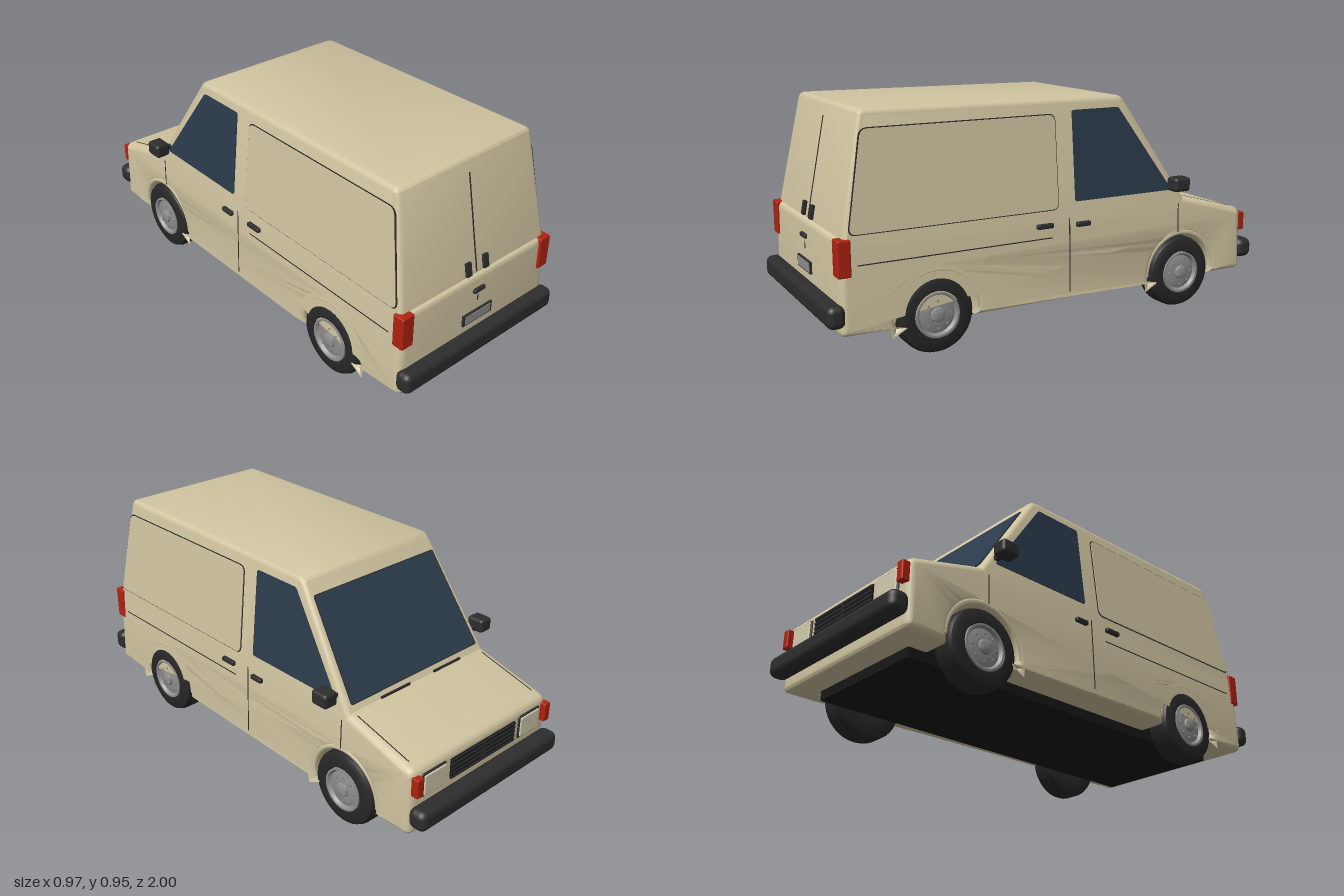
import * as THREE from 'three';
import { toCreasedNormals } from 'three/addons/utils/BufferGeometryUtils.js';
import { RoundedBoxGeometry } from 'three/addons/geometries/RoundedBoxGeometry.js';

const mat = (name, color) => Object.assign(new THREE.MeshStandardMaterial({ color }), { name });
const paint = mat('beige paint', 0xd0c4a0);
const glass = mat('tinted glass', 0x2c3b4c);
const trim = mat('dark trim', 0x2d2d2d);
const black = mat('underbody black', 0x171717);
const rubber = mat('tyre rubber', 0x272727);
const red = mat('red lens', 0xb02210);
const steel = mat('wheel steel', 0x8e8e8e);
const lens = mat('headlight lens', 0xd3cbb0);

const WHEEL_Z = [0.57, -0.59];
const WHEEL_Y = 0.155;
const upperX = y => 0.397 - (y - 0.49) * 0.1;   // leaning cabin side
const lowerX = y => 0.41 - (y - 0.13) * 0.03;   // nearly upright lower side
const rearZ = y => 0.93 - (y - 0.49) * 0.198;   // leaning rear doors

export function createModel() {
  const van = new THREE.Group();
  van.name = 'van';

  const add = (name, geo, material, x = 0, y = 0, z = 0, rx = 0) => {
    const mesh = new THREE.Mesh(geo, material);
    mesh.name = name;
    mesh.position.set(x, y, z);
    mesh.rotation.x = rx;
    van.add(mesh);
    return mesh;
  };
  const box = (name, material, w, h, d, x, y, z, rx = 0) =>
    add(name, new THREE.BoxGeometry(w, h, d), material, x, y, z, rx);
  const soft = (name, material, w, h, d, x, y, z, r, rx = 0) =>
    add(name, new RoundedBoxGeometry(w, h, d, 3, r), material, x, y, z, rx);

  // Polygon with rounded corners
  const roundedShape = (pts, r) => {
    const s = new THREE.Shape();
    const v = pts.map(p => new THREE.Vector2(...p));
    v.forEach((p, i) => {
      const before = v[(i + v.length - 1) % v.length], after = v[(i + 1) % v.length];
      const a = p.clone().add(before.clone().sub(p).setLength(r));
      const b = p.clone().add(after.clone().sub(p).setLength(r));
      if (i === 0) s.moveTo(a.x, a.y); else s.lineTo(a.x, a.y);
      s.quadraticCurveTo(p.x, p.y, b.x, b.y);
    });
    s.closePath();
    return s;
  };

  // Side profile (horizontal = -z) extruded across the width, narrowed by height
  const hull = (name, shape, b, widthAt) => {
    const depth = 2 - 2 * b;
    const geo = new THREE.ExtrudeGeometry(shape, { depth, bevelThickness: b, bevelSize: b, bevelOffset: -b, bevelSegments: 4, curveSegments: 16 });
    geo.translate(0, 0, -depth / 2).rotateY(Math.PI / 2);
    const p = geo.attributes.position;
    for (let i = 0; i < p.count; i++) {
      const x = p.getX(i), half = widthAt(p.getY(i));
      p.setX(i, Math.sign(x) * (half - (1 - Math.abs(x))));
    }
    geo.deleteAttribute('normal');
    add(name, toCreasedNormals(geo, 0.6), paint);
  };

  const mirrored = geo => {
    const g = geo.index ? geo.toNonIndexed() : geo.clone();
    g.scale(-1, 1, 1);
    const p = g.attributes.position, a = new THREE.Vector3(), b = new THREE.Vector3();
    for (let i = 0; i < p.count; i += 3) {
      a.fromBufferAttribute(p, i + 1);
      b.fromBufferAttribute(p, i + 2);
      p.setXYZ(i + 1, b.x, b.y, b.z);
      p.setXYZ(i + 2, a.x, a.y, a.z);
    }
    g.computeVertexNormals();
    return g;
  };

  // Thin plate following the body side, on both sides
  const sidePlate = (name, material, pts, r, depth, sideX) => {
    const shape = roundedShape(pts.map(([z, y]) => [-z, y]), r);
    const geo = new THREE.ExtrudeGeometry(shape, { depth: depth + 0.004, bevelEnabled: false, curveSegments: 6 });
    geo.translate(0, 0, -0.004).rotateY(Math.PI / 2);
    const p = geo.attributes.position;
    for (let i = 0; i < p.count; i++) p.setX(i, p.getX(i) + sideX(p.getY(i)));
    geo.computeVertexNormals();
    add(name + 'Left', geo, material);
    add(name + 'Right', mirrored(geo), material);
  };

  // Lower body with wheel arches
  const lower = new THREE.Shape();
  lower.moveTo(-0.93, 0.125);
  WHEEL_Z.forEach(z => {
    lower.lineTo(-z - 0.162, 0.125);
    lower.absarc(-z, WHEEL_Y, 0.165, Math.PI + 0.183, -0.183, true);
  });
  lower.lineTo(0.91, 0.125);
  lower.quadraticCurveTo(0.93, 0.125, 0.93, 0.15);
  lower.lineTo(0.93, 0.37);
  lower.quadraticCurveTo(0.93, 0.4, 0.9, 0.408);
  lower.lineTo(0.6, 0.49);
  lower.lineTo(-0.92, 0.49);
  lower.quadraticCurveTo(-0.945, 0.49, -0.946, 0.465);
  lower.lineTo(-0.95, 0.15);
  lower.quadraticCurveTo(-0.95, 0.125, -0.93, 0.125);
  hull('lowerBody', lower, 0.03, lowerX);

  // Cabin and cargo box
  hull('upperBody', roundedShape([[-0.94, 0.44], [0.634, 0.44], [0.3, 0.936], [-0.84, 0.946]], 0.025), 0.022, upperX);

  // Underbody and inner wheel wells
  box('chassis', black, 0.56, 0.05, 1.66, 0, 0.11, 0);
  WHEEL_Z.forEach(z => box('wheelWell', black, 0.57, 0.22, 0.34, 0, 0.23, z));

  // Windscreen and its seal
  const screen = (name, material, g, depth) => {
    const shape = roundedShape([[-0.36 - g, -g], [0.36 + g, -g], [0.33 + g, 0.425 + g], [-0.33 - g, 0.425 + g]], 0.012);
    const geo = new THREE.ExtrudeGeometry(shape, { depth, bevelEnabled: false });
    geo.rotateY(Math.PI).rotateX(0.5935);
    add(name, geo, material, 0, 0.515, -0.583);
  };
  screen('windscreenSeal', trim, 0.004, 0.003);
  screen('windscreen', glass, 0, 0.005);
  for (const x of [-0.16, 0.14]) box('wiper', trim, 0.16, 0.008, 0.008, x, 0.496, -0.603);

  // Door windows and cargo panels
  sidePlate('doorWindow', glass, [[-0.05, 0.525], [-0.535, 0.525], [-0.275, 0.89], [-0.05, 0.89]], 0.01, 0.004, upperX);
  sidePlate('cargoPanelSeam', trim, [[0.912, 0.5], [0.028, 0.5], [0.028, 0.881], [0.842, 0.881]], 0.03, 0.002, upperX);
  sidePlate('cargoPanel', paint, [[0.907, 0.504], [0.032, 0.504], [0.032, 0.877], [0.838, 0.877]], 0.028, 0.005, upperX);

  // Side seams
  const seam = (name, z0, z1, y0, y1) =>
    sidePlate(name, trim, [[z1, y0], [z0, y0], [z0, y1], [z1, y1]], 0.001, 0.0015, lowerX);
  seam('flankSeam', 0.06, 0.88, 0.388, 0.392);
  seam('doorSeam', -0.022, -0.018, 0.155, 0.46);
  seam('wingSeam', -0.574, -0.57, 0.335, 0.46);

  for (const s of [1, -1]) {
    // Door handles
    soft('sideDoorHandle', trim, 0.02, 0.02, 0.075, s * 0.407, 0.442, 0.098, 0.006);
    soft('frontDoorHandle', trim, 0.02, 0.02, 0.065, s * 0.407, 0.432, -0.083, 0.006);

    // Mirrors
    box('mirrorArm', trim, 0.06, 0.018, 0.02, s * 0.405, 0.548, -0.53);
    soft('mirrorHead', trim, 0.066, 0.06, 0.08, s * 0.45, 0.56, -0.53, 0.014);

    // Rear lamps, nose lamps, hood seams, door hinges
    soft('tailLamp', red, 0.058, 0.14, 0.052, s * 0.379, 0.42, 0.93, 0.006);
    soft('cornerLamp', red, 0.034, 0.08, 0.034, s * 0.378, 0.34, -0.938, 0.005);
    soft('headlightFrame', trim, 0.13, 0.1, 0.014, s * 0.282, 0.325, -0.93, 0.006);
    soft('headlight', lens, 0.118, 0.088, 0.018, s * 0.282, 0.325, -0.933, 0.006);
    box('hoodSeam', trim, 0.004, 0.004, 0.27, s * 0.365, 0.448, -0.75, -0.267);
    box('rearHinge', trim, 0.025, 0.056, 0.016, s * 0.047, 0.522, rearZ(0.522) + 0.004, -0.196);

    // Wheels with arch lips
    for (const z of WHEEL_Z) {
      const lip = new THREE.TorusGeometry(0.177, 0.013, 8, 28, Math.PI);
      lip.rotateY(Math.PI / 2);
      add('archLip', lip, paint, s * 0.393, WHEEL_Y, z);
      const wheel = makeWheel();
      wheel.position.set(s * 0.355, WHEEL_Y, z);
      if (s < 0) wheel.rotation.y = Math.PI;
      van.add(wheel);
    }
  }

  // Grille
  box('grille', black, 0.38, 0.085, 0.012, 0, 0.325, -0.93);
  for (let i = 0; i < 5; i++) box('grilleSlat', trim, 0.38, 0.008, 0.008, 0, 0.287 + i * 0.019, -0.936);
  box('grilleBar', trim, 0.008, 0.084, 0.008, 0, 0.325, -0.936);

  // Bumpers
  soft('rearBumper', trim, 0.83, 0.088, 0.07, 0, 0.206, 0.965, 0.026);
  soft('frontBumper', trim, 0.82, 0.086, 0.08, 0, 0.213, -0.96, 0.03);

  // Rear door seam, handle, lock and number plate
  box('rearDoorSeam', trim, 0.005, 0.4, 0.005, 0, 0.69, rearZ(0.69), -0.196);
  soft('rearHandle', trim, 0.062, 0.018, 0.018, 0, 0.424, 0.95, 0.006);
  box('rearLock', trim, 0.004, 0.03, 0.006, 0, 0.385, 0.946);
  box('plateFrame', trim, 0.16, 0.048, 0.012, 0, 0.308, 0.95);
  box('plate', steel, 0.14, 0.038, 0.006, 0, 0.308, 0.955);

  return van;
}

// Wheel with its outer face towards +x
function makeWheel() {
  const wheel = new THREE.Group();
  wheel.name = 'wheel';
  const lathe = (name, pts, material) => {
    const geo = new THREE.LatheGeometry(pts.map(p => new THREE.Vector2(...p)), 36);
    geo.rotateZ(-Math.PI / 2);
    const mesh = new THREE.Mesh(toCreasedNormals(geo, 0.7), material);
    mesh.name = name;
    wheel.add(mesh);
  };
  lathe('tyre', [[0, -0.045], [0.085, -0.05], [0.13, -0.055], [0.148, -0.047], [0.155, -0.03], [0.155, -0.016],
    [0.151, -0.014], [0.151, -0.01], [0.155, -0.008], [0.155, 0.008], [0.151, 0.01], [0.151, 0.014],
    [0.155, 0.016], [0.155, 0.03], [0.148, 0.047], [0.13, 0.056], [0.095, 0.055], [0.085, 0.03]], rubber);
  lathe('rim', [[0.09, 0.03], [0.09, 0.057], [0.082, 0.057], [0.074, 0.044], [0.045, 0.052], [0.03, 0.052],
    [0.028, 0.062], [0.018, 0.066], [0, 0.066]], steel);
  for (let i = 0; i < 8; i++) {
    const a = i * Math.PI / 4;
    const nut = new THREE.Mesh(new THREE.CylinderGeometry(0.005, 0.005, 0.012, 6), steel);
    nut.name = 'wheelNut';
    nut.rotation.z = Math.PI / 2;
    nut.position.set(0.05, Math.sin(a) * 0.055, Math.cos(a) * 0.055);
    wheel.add(nut);
  }
  return wheel;
}
